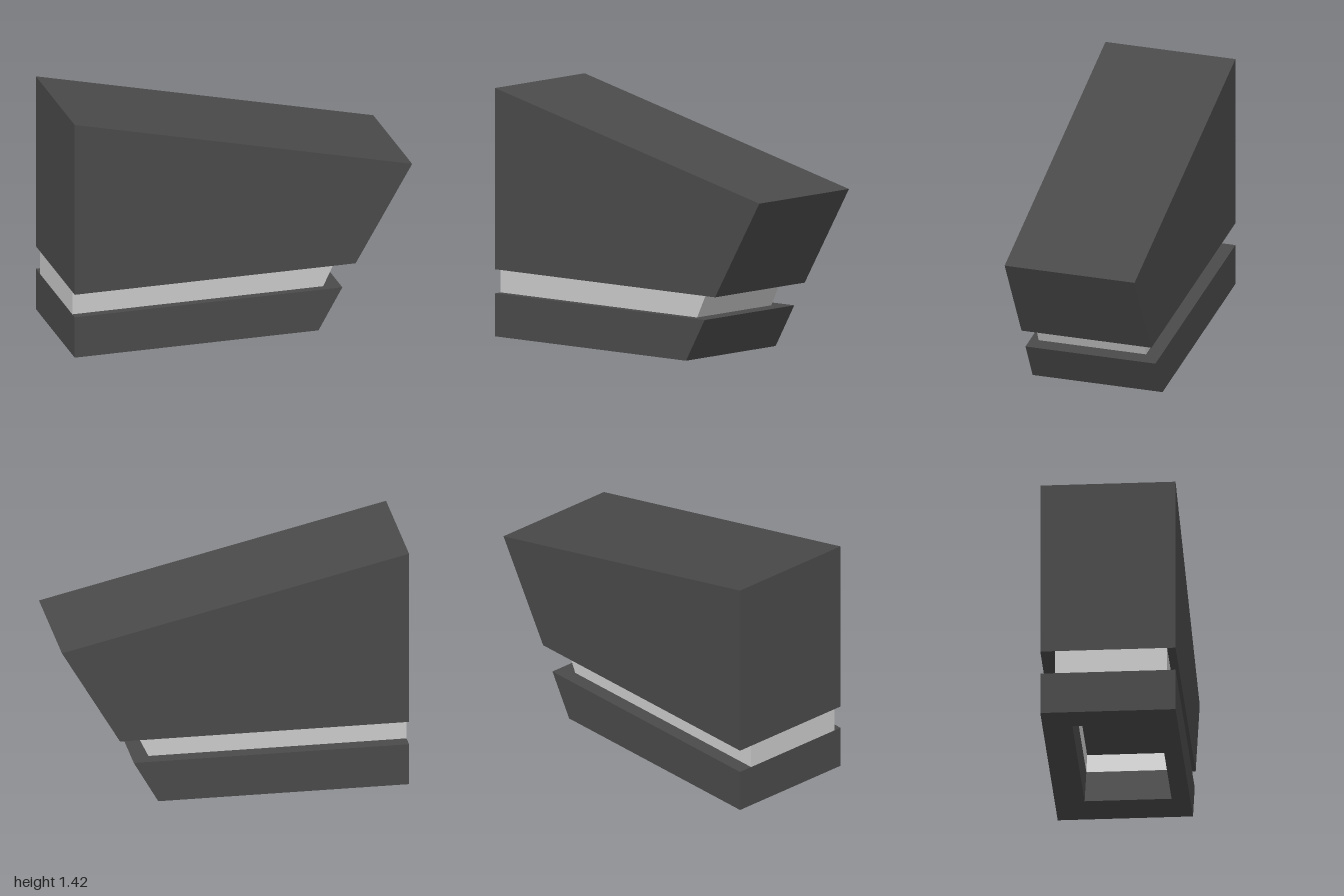
import * as THREE from 'three';

const dark = new THREE.MeshStandardMaterial({ color: 0x4a4a4a, flatShading: true });
const grey = new THREE.MeshStandardMaterial({ color: 0xcccccc, flatShading: true });

// Traces a rectangle given in x and z (shape y becomes -z once laid flat).
function rect(path, x0, x1, z0, z1) {
  path.moveTo(x0, -z1);
  path.lineTo(x1, -z1);
  path.lineTo(x1, -z0);
  path.lineTo(x0, -z0);
  path.closePath();
  return path;
}

// Hollow block from y0 to y1 whose +x walls lean outward by slope.
function leaningRing(name, material, outer, inner, y0, y1, slope) {
  const shape = rect(new THREE.Shape(), ...outer);
  shape.holes.push(rect(new THREE.Path(), ...inner));
  const geo = new THREE.ExtrudeGeometry(shape, { depth: y1 - y0, bevelEnabled: false });
  geo.rotateX(-Math.PI / 2);
  const p = geo.attributes.position;
  for (let i = 0; i < p.count; i++) {
    if (p.getX(i) > 0) p.setX(i, p.getX(i) + p.getY(i) * slope);
  }
  geo.translate(0, y0, 0);
  geo.computeVertexNormals();
  const mesh = new THREE.Mesh(geo, material);
  mesh.name = name;
  return mesh;
}

export function createModel() {
  const group = new THREE.Group();
  group.name = 'wedgeBlock';

  // Solid upper body with sloping top and leaning end
  const profile = new THREE.Shape([
    [-1, 0.385], [0.665, 0.385], [1, 0.955], [-1, 1.425],
  ].map(([x, y]) => new THREE.Vector2(x, y)));
  const bodyGeo = new THREE.ExtrudeGeometry(profile, { depth: 0.77, bevelEnabled: false });
  bodyGeo.translate(0, 0, -0.385);
  const body = new THREE.Mesh(bodyGeo, dark);
  body.name = 'upperBody';
  group.add(body);

  // Recessed band between the two blocks, slightly off centre in z
  group.add(leaningRing('recessedBand', grey,
    [-1, 0.487, -0.3, 0.337], [-0.81, 0.34, -0.215, 0.28], 0.247, 0.385, 0.486));

  // Base block with the opening underneath
  group.add(leaningRing('base', dark,
    [-1, 0.445, -0.385, 0.385], [-0.81, 0.2, -0.215, 0.28], 0, 0.247, 0.571));

  return group;
}
